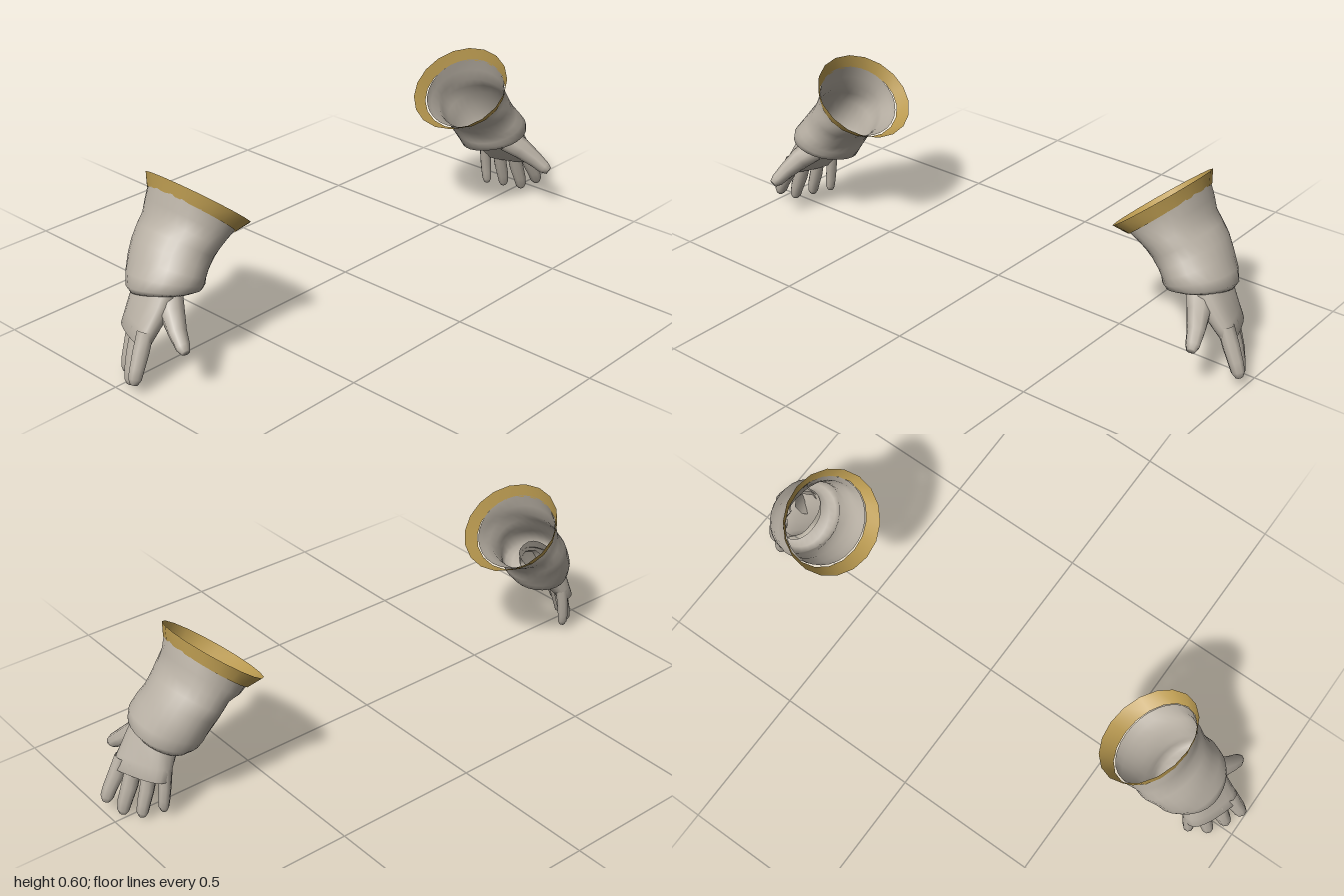
import * as THREE from 'three';

const cloth = new THREE.MeshStandardMaterial({ color: 0xb8b0a4, side: THREE.DoubleSide });
cloth.name = 'warm grey cloth';
const gold = new THREE.MeshStandardMaterial({ color: 0xba9a50, side: THREE.DoubleSide });
gold.name = 'gold trim';

// Skin a list of point rings; side = 1 for the left glove, -1 mirrors in x
function loft(name, rings, side, material, capped) {
  const n = rings[0].length, pos = [], idx = [];
  const tri = (a, b, c) => (side > 0 ? idx.push(a, b, c) : idx.push(a, c, b));
  rings.forEach((ring) => ring.forEach((p) => pos.push(p.x * side, p.y, p.z)));
  for (let i = 0; i < rings.length - 1; i++) {
    for (let j = 0; j < n; j++) {
      const k = (j + 1) % n, a = i * n + j, b = i * n + k;
      tri(a, b, a + n);
      tri(b, b + n, a + n);
    }
  }
  if (capped) {
    const last = rings[rings.length - 1], base = (rings.length - 1) * n;
    const mid = last.reduce((m, p) => m.add(p), new THREE.Vector3()).divideScalar(n);
    pos.push(mid.x * side, mid.y, mid.z);
    for (let j = 0; j < n; j++) tri(base + j, base + (j + 1) % n, rings.length * n);
  }
  const g = new THREE.BufferGeometry();
  g.setAttribute('position', new THREE.Float32BufferAttribute(pos, 3));
  g.setIndex(idx);
  g.computeVertexNormals();
  const mesh = new THREE.Mesh(g, material);
  mesh.name = name;
  return mesh;
}

// Oval ring from its outer (x, y), inner (x, y), front z and back z, with the
// front raised by tiltY and pushed out by tiltX; power < 1 squares it off
function oval([ox, oy, ix, iy, zf, zb, tiltX = 0, tiltY = 0], n, power = 1, fold = () => 1) {
  const bend = (v) => Math.sign(v) * Math.abs(v) ** power;
  return Array.from({ length: n }, (_, j) => {
    const t = (j / n) * Math.PI * 2, f = fold(t);
    const c = bend(Math.cos(t)) * f, s = bend(Math.sin(t)) * f;
    return new THREE.Vector3(
      (ox + ix) / 2 + (c * (ox - ix)) / 2 + s * tiltX,
      (oy + iy) / 2 + (c * (oy - iy)) / 2 + s * tiltY,
      (zf + zb) / 2 + (s * (zf - zb)) / 2
    );
  });
}

// Tapering digit along points [x, y, z, radius]
function digit(name, path, side) {
  const at = (p) => new THREE.Vector3(p[0], p[1], p[2]);
  const rings = path.map((p, i) => {
    const d = at(path[Math.min(i + 1, path.length - 1)]).sub(at(path[Math.max(i - 1, 0)])).normalize();
    const u = new THREE.Vector3(0, 0, 1).cross(d).normalize();
    const v = d.clone().cross(u);
    return Array.from({ length: 8 }, (_, j) => {
      const t = ((j + 0.5) / 8) * Math.PI * 2;
      return at(p).addScaledVector(u, Math.cos(t) * p[3]).addScaledVector(v, Math.sin(t) * p[3]);
    });
  });
  return loft(name, rings, side, cloth, true);
}

// Sleeve from the open top down to the rolled hem and wrist
const SLEEVE = [
  [0.755, 0.555, 0.55, 0.368, 0.13, -0.178],
  [0.768, 0.51, 0.58, 0.355, 0.124, -0.176],
  [0.78, 0.47, 0.615, 0.342, 0.126, -0.168],
  [0.805, 0.44, 0.64, 0.318, 0.12, -0.168],
  [0.835, 0.405, 0.662, 0.292, 0.122, -0.16],
  [0.862, 0.365, 0.675, 0.268, 0.13, -0.148, 0, 0.008],
  [0.89, 0.325, 0.682, 0.25, 0.132, -0.136, 0, 0.015],
  [0.902, 0.29, 0.695, 0.232, 0.125, -0.12, 0, 0.022],
  [0.89, 0.268, 0.72, 0.225, 0.108, -0.102, 0, 0.026],
  [0.862, 0.285, 0.75, 0.245, 0.085, -0.085, 0, 0.025],
];
// Flaring band round the opening
const BAND = [
  [0.755, 0.597, 0.49, 0.379, 0.156, -0.205],
  [0.757, 0.55, 0.546, 0.364, 0.134, -0.184],
];
const PALM = [
  [0.86, 0.31, 0.755, 0.27, 0.085, -0.08, 0, 0.02],
  [0.895, 0.25, 0.795, 0.22, 0.092, -0.086, 0.01, 0.01],
  [0.92, 0.195, 0.838, 0.172, 0.087, -0.094, 0.028],
  [0.938, 0.152, 0.872, 0.135, 0.083, -0.097, 0.033],
  [0.922, 0.142, 0.892, 0.132, 0.065, -0.08, 0.027],
];
const DIGITS = {
  thumb: [[0.82, 0.25, 0.05, 0.045], [0.845, 0.22, 0.095, 0.038], [0.867, 0.185, 0.14, 0.029],
    [0.88, 0.157, 0.176, 0.023], [0.885, 0.147, 0.193, 0.014]],
  indexFinger: [[0.92, 0.18, 0.057, 0.027], [0.945, 0.125, 0.062, 0.027], [0.968, 0.08, 0.068, 0.024],
    [0.98, 0.052, 0.07, 0.022], [0.986, 0.034, 0.071, 0.012]],
  middleFinger: [[0.905, 0.175, 0.013, 0.027], [0.93, 0.1, 0.014, 0.027], [0.948, 0.05, 0.018, 0.024],
    [0.956, 0.018, 0.02, 0.02], [0.96, 0.004, 0.02, 0.011]],
  ringFinger: [[0.88, 0.175, -0.035, 0.025], [0.9, 0.1, -0.037, 0.024], [0.915, 0.055, -0.037, 0.022],
    [0.922, 0.025, -0.037, 0.019], [0.925, 0.01, -0.037, 0.011]],
  littleFinger: [[0.85, 0.18, -0.075, 0.021], [0.86, 0.115, -0.078, 0.02], [0.866, 0.07, -0.077, 0.019],
    [0.868, 0.043, -0.075, 0.017], [0.868, 0.027, -0.074, 0.01]],
};

function glove(name, side) {
  const g = new THREE.Group();
  g.name = name;
  // shallow creases wander round the sleeve
  const sleeve = SLEEVE.map((r, i) => oval(r, 28, 1, (t) =>
    i === 0 ? 1 : 1 + 0.012 * Math.sin(3 * t + i * 2.1) + 0.008 * Math.sin(5 * t - i * 1.3)));
  g.add(loft('sleeve', sleeve, side, cloth, false));
  g.add(loft('cuffBand', BAND.map((r) => oval(r, 18)), side, gold, false));
  g.add(loft('palm', PALM.map((r) => oval(r, 20, 0.8)), side, cloth, true));
  for (const [part, path] of Object.entries(DIGITS)) g.add(digit(part, path, side));
  return g;
}

export function createModel() {
  const model = new THREE.Group();
  model.name = 'pairOfGloves';
  model.add(glove('leftGlove', 1), glove('rightGlove', -1));
  return model;
}
